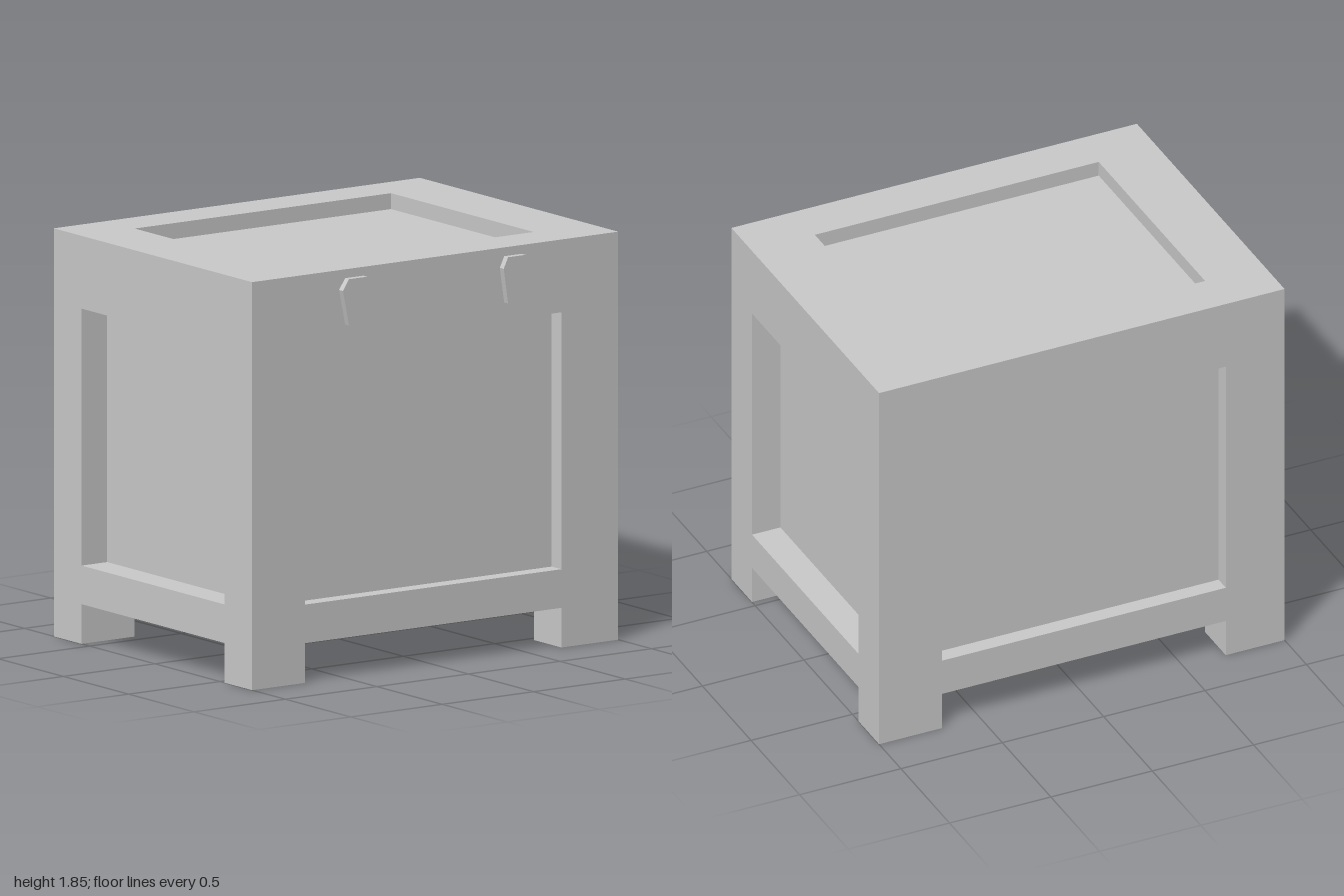
import * as THREE from 'three';

const material = new THREE.MeshStandardMaterial({ color: 0xcccccc, flatShading: true });

// Main extents of the chest
const X0 = -1, X1 = 1, Z0 = -0.775, Z1 = 0.745;
const FLOOR = 0.18, SEAM = 1.76, TOP = 1.85;
// Limits of the sunken panels, also the inner edges of the feet
const PX0 = -0.71, PX1 = 0.69, PZ0 = -0.562, PZ1 = 0.533, PY0 = 0.355, PY1 = 1.52;
const DZ = 0.075, DX = 0.14, DY = 0.072; // recess depths

function addMesh(group, name, geometry) {
  const mesh = new THREE.Mesh(geometry, material);
  mesh.name = name;
  group.add(mesh);
  return mesh;
}

function addBox(group, name, x0, x1, y0, y1, z0, z1) {
  const mesh = addMesh(group, name, new THREE.BoxGeometry(x1 - x0, y1 - y0, z1 - z0));
  mesh.position.set((x0 + x1) / 2, (y0 + y1) / 2, (z0 + z1) / 2);
  return mesh;
}

const rect = (Kind, u0, u1, v0, v1) => new Kind([
  new THREE.Vector2(u0, v0), new THREE.Vector2(u1, v0),
  new THREE.Vector2(u1, v1), new THREE.Vector2(u0, v1),
]);

// Rectangular slab with a rectangular opening; limits are [u0, u1, v0, v1]
function frameGeometry(outer, inner, depth) {
  const shape = rect(THREE.Shape, ...outer);
  shape.holes.push(rect(THREE.Path, ...inner));
  return new THREE.ExtrudeGeometry(shape, { depth, bevelEnabled: false });
}

export function createModel() {
  const chest = new THREE.Group();
  chest.name = 'chest';

  // Inner body, whose faces form the sunken panels
  addBox(chest, 'bodyCore', X0 + DX, X1 - DX, FLOOR, SEAM, Z0 + DZ, Z1 - DZ);

  // Front and back frames
  for (const [name, z] of [['frontFrame', Z1 - DZ], ['backFrame', Z0]]) {
    const geometry = frameGeometry([X0, X1, FLOOR, SEAM], [PX0, PX1, PY0, PY1], DZ);
    addMesh(chest, name, geometry).position.z = z;
  }

  // Side frames fit between the front and back frames
  for (const [name, x] of [['leftFrame', X1 - DX], ['rightFrame', X0]]) {
    const geometry = frameGeometry(
      [-(Z1 - DZ), -(Z0 + DZ), FLOOR, SEAM], [-PZ1, -PZ0, PY0, PY1], DX);
    geometry.rotateY(Math.PI / 2);
    addMesh(chest, name, geometry).position.x = x;
  }

  // Four corner feet
  for (const [xa, xb] of [[X0, PX0], [PX1, X1]]) {
    for (const [za, zb] of [[Z0, PZ0], [PZ1, Z1]]) {
      addBox(chest, 'foot', xa, xb, 0, FLOOR, za, zb);
    }
  }

  // Lid: thin plate with a raised border
  const lid = new THREE.Group();
  lid.name = 'lid';
  addBox(lid, 'lidPanel', X0, X1, SEAM, TOP - DY, Z0, Z1);
  const border = frameGeometry([X0, X1, -Z1, -Z0], [PX0, PX1, -PZ1, -PZ0], DY);
  border.rotateX(-Math.PI / 2);
  addMesh(lid, 'lidFrame', border).position.y = TOP - DY;
  chest.add(lid);

  // Tapered six-sided latches across the seam: centre, half width, half end width
  for (const [name, x, w, e] of [['rightLatch', -0.442, 0.083, 0.05], ['leftLatch', 0.425, 0.072, 0.048]]) {
    const outline = new THREE.Shape([
      [-e, 1.6], [e, 1.6], [w, SEAM], [e, 1.81], [-e, 1.81], [-w, SEAM],
    ].map(([u, v]) => new THREE.Vector2(u, v)));
    const geometry = new THREE.ExtrudeGeometry(outline, { depth: 0.03, bevelEnabled: false });
    addMesh(chest, name, geometry).position.set(x, 0, Z1);
  }

  return chest;
}
